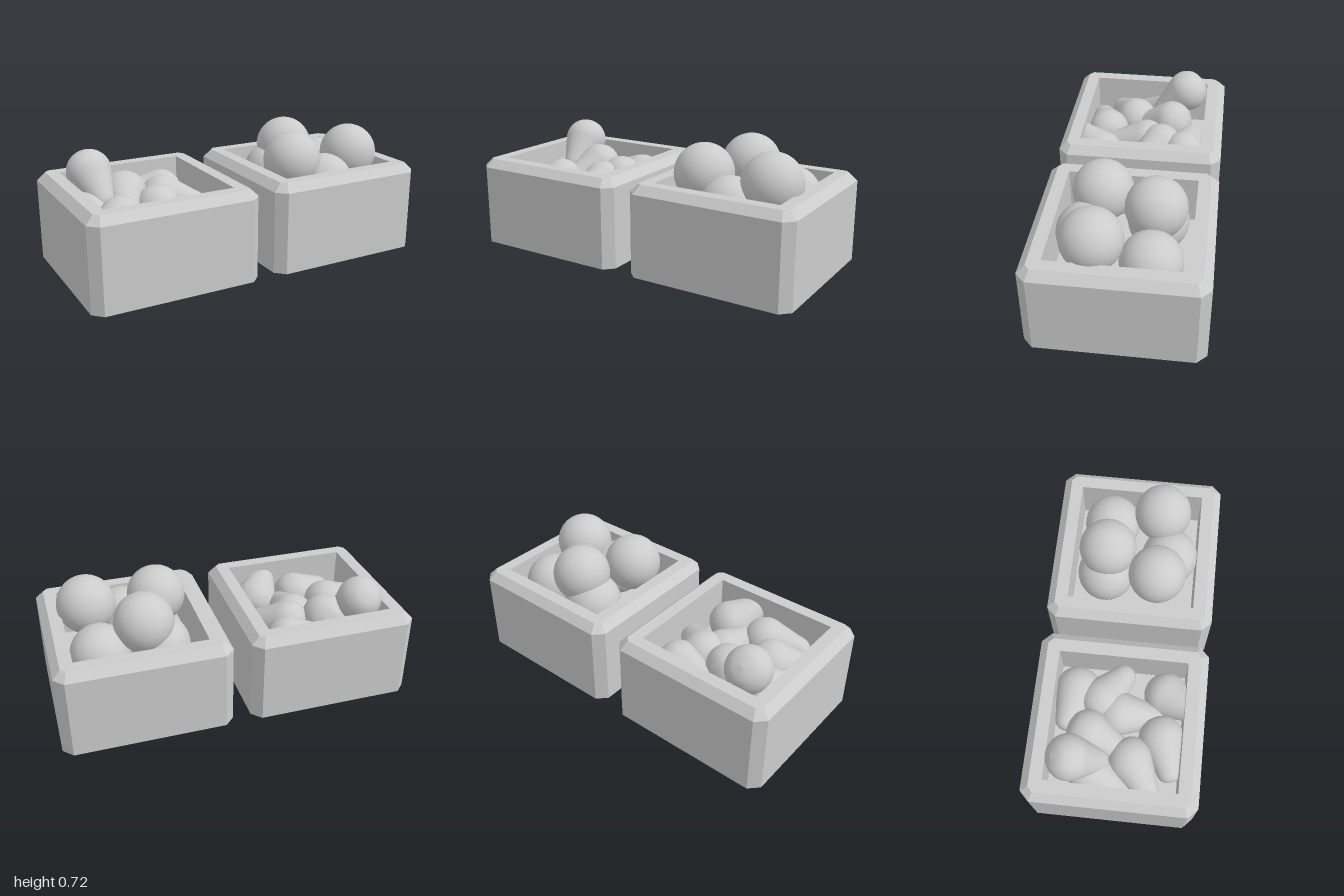
import * as THREE from 'three';

const grey = new THREE.MeshStandardMaterial({ color: 0xcccccc });
const FLOOR = 0.23;

// Square ring at height y, half width h, corners cut by c; counter-clockwise from above
function ring(y, h, c) {
  const k = h - c;
  return [[h, k], [h, -k], [k, -h], [-k, -h], [-h, -k], [-h, k], [-k, h], [k, h]]
    .map(([x, z]) => [x, y, z]);
}

// Hollow crate skinned through rings: base, walls, bevelled rim, inner walls, floor
function crate(x) {
  const rings = [
    ring(0, 0, 0), ring(0, 0.474, 0.053), ring(0.465, 0.474, 0.053),
    ring(0.51, 0.43, 0.027), ring(0.51, 0.36, 0), ring(FLOOR, 0.36, 0), ring(FLOOR, 0, 0),
  ];
  const pos = [];
  for (let r = 0; r < rings.length - 1; r++) {
    for (let i = 0; i < 8; i++) {
      const j = (i + 1) % 8;
      const [a, b, c, d] = [rings[r][i], rings[r][j], rings[r + 1][j], rings[r + 1][i]];
      pos.push(...a, ...b, ...c, ...a, ...c, ...d);
    }
  }
  const geo = new THREE.BufferGeometry();
  geo.setAttribute('position', new THREE.Float32BufferAttribute(pos, 3));
  geo.computeVertexNormals();
  const mesh = new THREE.Mesh(geo, grey);
  mesh.name = 'crate';
  mesh.position.x = x;
  return mesh;
}

// Pear with its wide end centred on the origin and its narrow end down -y
function pearGeometry() {
  const profile = [[0, -0.25], [0.035, -0.243], [0.062, -0.215], [0.08, -0.155], [0.107, -0.07],
    [0.126, 0], [0.113, 0.06], [0.07, 0.108], [0, 0.126]].map(([x, y]) => new THREE.Vector2(x, y));
  const points = new THREE.SplineCurve(profile).getPoints(32);
  points.forEach((p) => { p.x = Math.max(0, p.x); });
  return new THREE.LatheGeometry(points, 32);
}

export function createModel() {
  const model = new THREE.Group();

  const pears = new THREE.Group();
  pears.name = 'pearCrate';
  const oranges = new THREE.Group();
  oranges.name = 'orangeCrate';
  model.add(pears, oranges);
  pears.add(crate(-0.526));
  oranges.add(crate(0.526));

  // Round fruit: three on the floor, three on top
  const ball = new THREE.SphereGeometry(0.165, 40, 24);
  [
    [0.39, 0.4, -0.165], [0.72, 0.4, -0.16], [0.53, 0.4, 0.2],
    [0.342, 0.542, 0.138], [0.741, 0.542, 0.138], [0.475, 0.555, -0.16],
  ].forEach((p) => {
    const mesh = new THREE.Mesh(ball, grey);
    mesh.name = 'orange';
    mesh.position.set(...p);
    oranges.add(mesh);
  });

  // Pears: centre of the wide end, then direction of the narrow end
  const geo = pearGeometry();
  const down = new THREE.Vector3(0, -1, 0);
  [
    [[-0.755, 0.527, -0.23], [0.03, -0.17, 0.19]],
    [[-0.585, 0.4, -0.15], [-0.08, -0.08, 0.22]],
    [[-0.375, 0.36, -0.1], [0.2, -0.04, 0.14]],
    [[-0.33, 0.35, -0.245], [-0.24, 0, -0.05]],
    [[-0.445, 0.34, 0], [0.01, -0.03, 0.24]],
    [[-0.7, 0.34, 0.09], [-0.19, -0.04, 0.13]],
    [[-0.56, 0.33, 0.25], [-0.22, -0.02, 0.07]],
    [[-0.31, 0.33, 0.26], [-0.07, 0.05, 0.11]],
    [[-0.78, 0.34, -0.13], [-0.08, -0.03, 0.15]],
  ].forEach(([p, dir]) => {
    const mesh = new THREE.Mesh(geo, grey);
    mesh.name = 'pear';
    mesh.position.set(...p);
    mesh.quaternion.setFromUnitVectors(down, new THREE.Vector3(...dir).normalize());
    pears.add(mesh);
  });

  return model;
}
